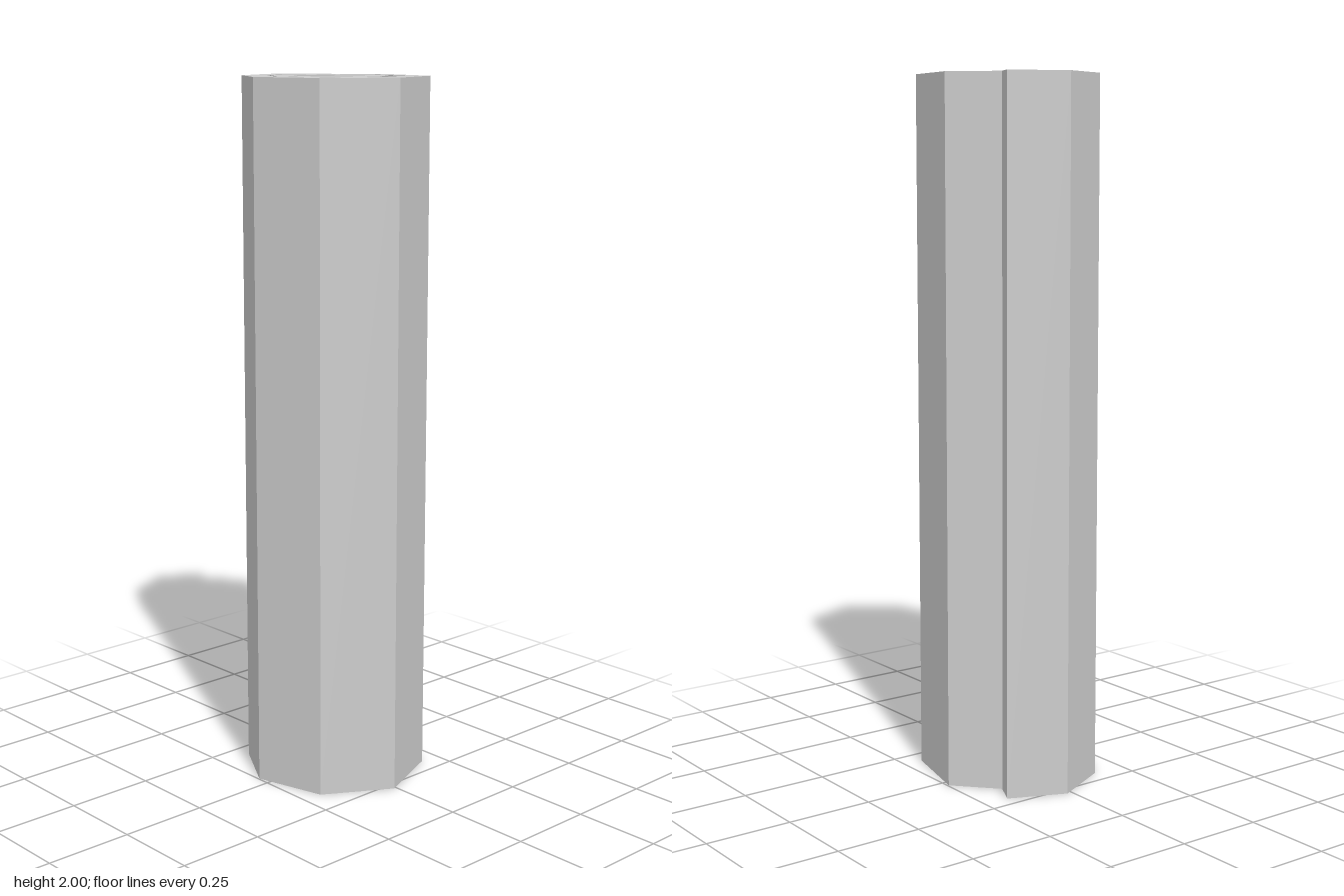
import * as THREE from 'three';

const HEIGHT = 2;

// Spiral strip seen from above, loose edge to core: [outer x, outer z, inner x, inner z]
const SPIRAL = [
  [0.175, -0.21, 0.144, -0.147],
  [0.015, -0.28, 0.015, -0.21],
  [-0.152, -0.198, -0.105, -0.147],
  [-0.247, -0.038, -0.177, -0.028],
  [-0.192, 0.165, -0.136, 0.123],
  [-0.007, 0.277, -0.001, 0.207],
  [0.192, 0.193, 0.14, 0.147],
  [0.246, -0.026, 0.177, -0.008],
  [0.12, -0.163, 0.09, -0.099],
  [-0.077, -0.165, -0.044, -0.102],
  [-0.171, -0.023, -0.1, -0.018],
  [-0.104, 0.129, -0.059, 0.076],
  [0.026, 0.166, 0.018, 0.096],
  [0.162, 0.063, 0.096, 0.052],
  [0.08, -0.067, 0.03, -0.018],
];

function rolledSheetGeometry() {
  const positions = [];
  const quad = (a, b, c, d) => positions.push(...a, ...b, ...c, ...a, ...c, ...d);

  // Each station becomes four corners of the sheet's cross-section
  const stations = SPIRAL.map(([ox, oz, ix, iz]) => ({
    outerLow: [ox, 0, oz],
    outerHigh: [ox, HEIGHT, oz],
    innerLow: [ix, 0, iz],
    innerHigh: [ix, HEIGHT, iz],
  }));

  // Outer wall, inner wall, top and bottom of every fold
  for (let i = 0; i < stations.length - 1; i++) {
    const a = stations[i], b = stations[i + 1];
    quad(a.outerLow, b.outerLow, b.outerHigh, a.outerHigh);
    quad(b.innerLow, a.innerLow, a.innerHigh, b.innerHigh);
    quad(a.outerHigh, b.outerHigh, b.innerHigh, a.innerHigh);
    quad(a.innerLow, b.innerLow, b.outerLow, a.outerLow);
  }

  // Loose edge and core edge
  const s = stations[0], e = stations[stations.length - 1];
  quad(s.innerLow, s.outerLow, s.outerHigh, s.innerHigh);
  quad(e.outerLow, e.innerLow, e.innerHigh, e.outerHigh);

  // Unshared vertices give flat facets
  const geometry = new THREE.BufferGeometry();
  geometry.setAttribute('position', new THREE.Float32BufferAttribute(positions, 3));
  geometry.computeVertexNormals();
  return geometry;
}

export function createModel() {
  const group = new THREE.Group();
  group.name = 'rolledSheetModel';
  const lightGrey = new THREE.MeshStandardMaterial({ color: 0xcccccc });
  lightGrey.name = 'lightGrey';
  const roll = new THREE.Mesh(rolledSheetGeometry(), lightGrey);
  roll.name = 'rolledSheet';
  group.add(roll);
  return group;
}
